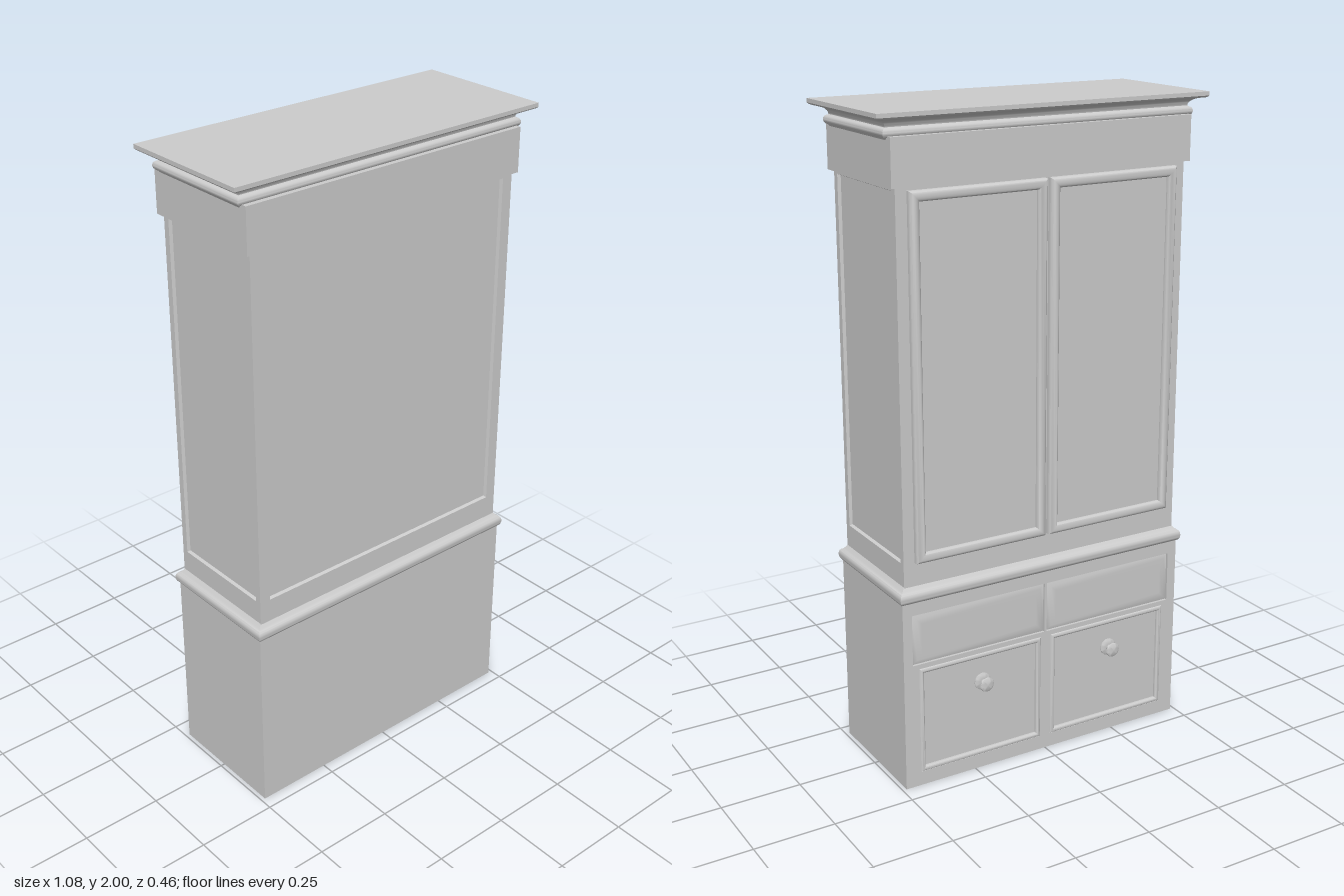
import * as THREE from 'three';
import { toCreasedNormals } from 'three/addons/utils/BufferGeometryUtils.js';

const material = new THREE.MeshStandardMaterial({ color: 0xcccccc });

// Stack of rectangles: each profile point is [inset, height] from half sizes w, d; ends are capped.
function rectLoft(w, d, profile) {
  const corners = [[1, 1], [1, -1], [-1, -1], [-1, 1]];
  const positions = [];
  const index = [];
  for (const [inset, y] of profile)
    for (const [sx, sz] of corners) positions.push(sx * (w - inset), y, sz * (d - inset));
  for (let i = 0; i < profile.length - 1; i++)
    for (let j = 0; j < 4; j++) {
      const a = i * 4 + j, b = i * 4 + (j + 1) % 4;
      index.push(a, b, b + 4, a, b + 4, a + 4);
    }
  const t = (profile.length - 1) * 4;
  index.push(t, t + 1, t + 2, t, t + 2, t + 3, 0, 2, 1, 0, 3, 2);
  const g = new THREE.BufferGeometry();
  g.setAttribute('position', new THREE.Float32BufferAttribute(positions, 3));
  g.setIndex(index);
  return toCreasedNormals(g, 0.6);
}

// Rounded bulge from height y0 to y1, reaching out by r
function bead(inset, y0, y1, r, steps = 8) {
  return Array.from({ length: steps + 1 }, (_, i) => {
    const a = Math.PI * i / steps;
    return [inset - r * Math.sin(a), (y0 + y1) / 2 - (y1 - y0) / 2 * Math.cos(a)];
  });
}

// Door: rounded raised frame of given width around a sunken flat panel
function doorProfile(frame, height, panel) {
  const round = [];
  for (let i = 0; i <= 8; i++) {
    const a = Math.PI * i / 8;
    round.push([frame / 2 * (1 - Math.cos(a)), height * (0.55 + 0.45 * Math.sin(a))]);
  }
  return [[0, 0], ...round, [frame, panel], [frame + 0.005, panel]];
}

function rectPath(Type, x0, y0, x1, y1) {
  const p = new Type();
  p.moveTo(x0, y0);
  p.lineTo(x1, y0);
  p.lineTo(x1, y1);
  p.lineTo(x0, y1);
  p.closePath();
  return p;
}

export function createModel() {
  const cabinet = new THREE.Group();
  cabinet.name = 'cabinet';
  const add = (name, geometry, x = 0, y = 0, z = 0) => {
    const mesh = new THREE.Mesh(geometry, material);
    mesh.name = name;
    mesh.position.set(x, y, z);
    cabinet.add(mesh);
    return mesh;
  };

  // Lower case with a pierced face on the door side (-z)
  add('baseCase', new THREE.BoxGeometry(0.974, 0.6, 0.388), 0, 0.3, 0.006);
  const face = rectPath(THREE.Shape, -0.487, 0, 0.487, 0.6);
  for (const s of [-1, 1]) {
    face.holes.push(rectPath(THREE.Path, s * 0.004, 0.4, s * 0.457, 0.56));
    face.holes.push(rectPath(THREE.Path, s * 0.018, 0.045, s * 0.437, 0.385));
  }
  add('baseFace', new THREE.ExtrudeGeometry(face, { depth: 0.012, bevelEnabled: false }), 0, 0, -0.2);

  // Upper case with sunken panels on the back and both sides
  add('upperCase', new THREE.BoxGeometry(0.93, 1.2, 0.37), 0, 1.22, -0.005);
  const sunken = (side) => [[0, 0], [0, 0.012], [side, 0.012], [side + 0.004, 0.003]];
  add('backPanel', rectLoft(0.475, 0.57, sunken(0.035)).rotateX(Math.PI / 2), 0, 1.255, 0.178);
  for (const s of [-1, 1]) {
    add('sidePanel', rectLoft(0.555, 0.19, sunken(0.02)).rotateZ(-s * Math.PI / 2), s * 0.463, 1.255, 0);
  }
  add('lowerRail', new THREE.BoxGeometry(0.95, 0.1, 0.38), 0, 0.66, 0);

  // Waist moulding
  add('waistMoulding', rectLoft(0.487, 0.2, [
    [0, 0.595], ...bead(0, 0.6, 0.636, 0.01), [0.004, 0.64], [0.012, 0.65], [0.02, 0.65],
  ]));

  // Frieze and crown
  add('frieze', rectLoft(0.49, 0.2, [[0, 1.8], [0, 1.935]]));
  const cove = [];
  for (let i = 0; i <= 8; i++) {
    const a = Math.PI / 2 * i / 8;
    cove.push([0.045 - 0.036 * (1 - Math.cos(a)), 1.958 + 0.024 * Math.sin(a)]);
  }
  add('crown', rectLoft(0.538, 0.22, [
    [0.046, 1.925], ...bead(0.043, 1.93, 1.956, 0.01), ...cove,
    [0.004, 1.984], [0, 1.988], [0, 2],
  ]));

  // Turned knob, axis along y
  const knob = new THREE.LatheGeometry([
    [0, 0], [0.027, 0], [0.027, 0.003], [0.022, 0.006], [0.009, 0.008], [0.009, 0.023],
    [0.012, 0.025], [0.023, 0.029], [0.022, 0.031], [0.014, 0.035], [0, 0.036],
  ].map(([r, y]) => new THREE.Vector2(r, y)), 24);
  const knobGeometry = toCreasedNormals(knob.rotateX(-Math.PI / 2), 0.5);

  // Doors, drawers and knobs, mirrored
  for (const s of [-1, 1]) {
    add('upperDoor', rectLoft(0.217, 0.535, doorProfile(0.03, 0.022, 0.007)).rotateX(-Math.PI / 2),
      s * 0.223, 1.255, -0.19);
    add('drawerFront', rectLoft(0.2255, 0.079, [[0, 0], [0, 0.006], [0.014, 0.012], [0.03, 0.012]])
      .rotateX(-Math.PI / 2), s * 0.2305, 0.48, -0.1875);
    add('lowerDoor', rectLoft(0.2095, 0.17, doorProfile(0.016, 0.016, 0.005)).rotateX(-Math.PI / 2),
      s * 0.2275, 0.215, -0.188);
    add('knobStem', new THREE.CylinderGeometry(0.012, 0.012, 0.016, 24).rotateX(Math.PI / 2),
      s * 0.2275, 0.295, -0.2);
    add('knob', knobGeometry, s * 0.2275, 0.295, -0.206);
  }

  // Centre the depth
  cabinet.position.z = 0.01;
  const model = new THREE.Group();
  model.add(cabinet);
  return model;
}
